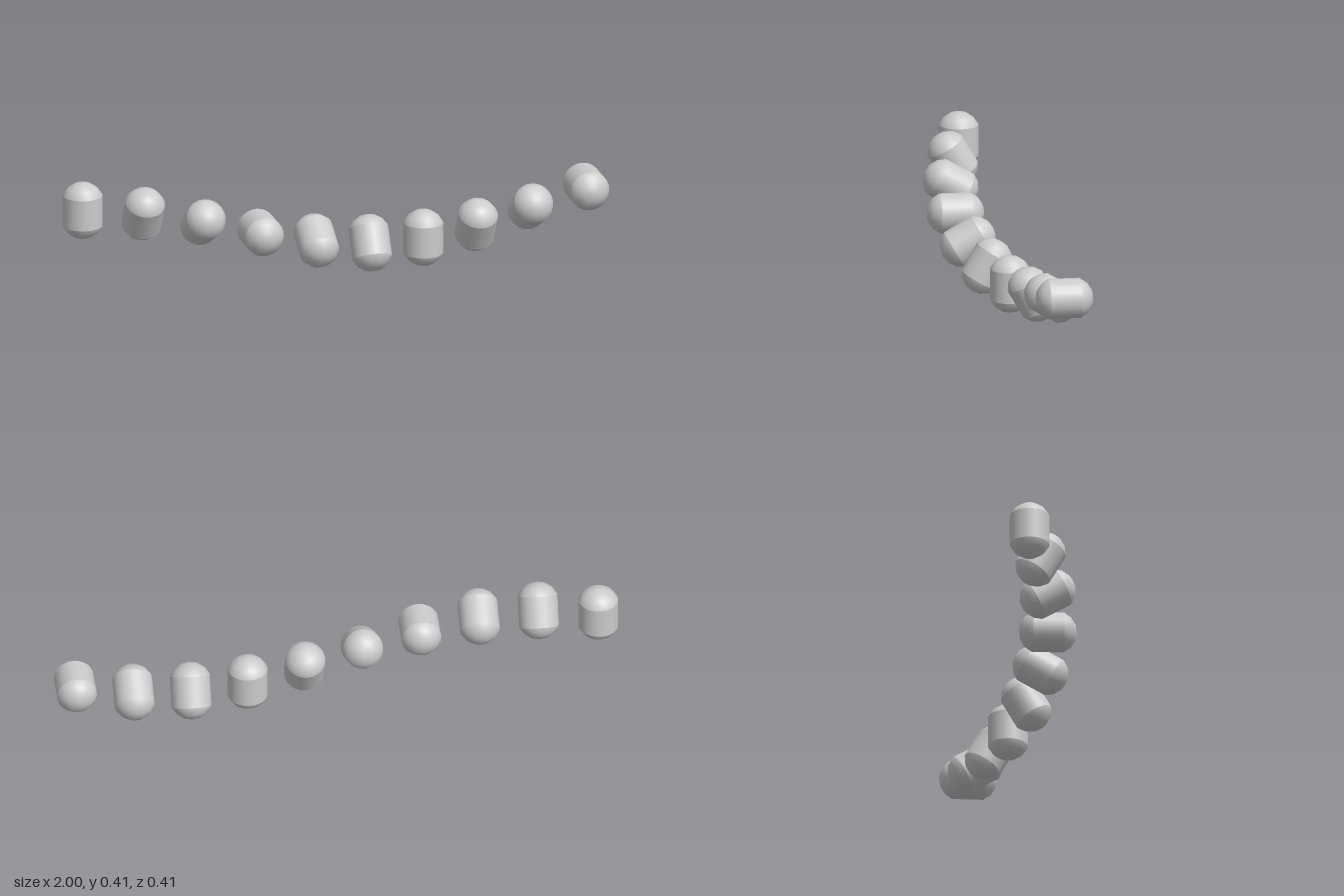
import * as THREE from 'three';

const COUNT = 10;
const RADIUS = 0.0705;                 // cylinder radius
const REACH = 0.205;                   // length of each capsule, measured from the shared axis
const CAP_ANGLE = THREE.MathUtils.degToRad(67.5);
const CAP_R = RADIUS / Math.sin(CAP_ANGLE);
const CAP_H = CAP_R * (1 - Math.cos(CAP_ANGLE));
const SIDES = 24;

export function createModel() {
  const model = new THREE.Group();
  model.name = 'capsuleSpiral';
  const material = new THREE.MeshStandardMaterial({ color: 0xcccccc });

  // Shared geometry: straight barrel and a shallow dome with a crisp rim
  const barrelGeo = new THREE.CylinderGeometry(RADIUS, RADIUS, REACH - 2 * CAP_H, SIDES, 1, true);
  barrelGeo.translate(0, REACH / 2, 0);
  const outerGeo = new THREE.SphereGeometry(CAP_R, SIDES, 3, 0, Math.PI * 2, 0, CAP_ANGLE);
  outerGeo.translate(0, REACH - CAP_R, 0);
  const innerGeo = outerGeo.clone().translate(0, -REACH, 0).rotateX(Math.PI).rotateY(Math.PI);

  // Row of capsules, each turned 30 degrees further about the long axis
  const span = 2 * (1 - RADIUS);
  for (let i = 0; i < COUNT; i++) {
    const capsule = new THREE.Group();
    capsule.name = `capsule${i + 1}`;
    const parts = { barrel: barrelGeo, outerCap: outerGeo, innerCap: innerGeo };
    for (const [name, geo] of Object.entries(parts)) {
      const mesh = new THREE.Mesh(geo, material);
      mesh.name = name;
      capsule.add(mesh);
    }
    capsule.position.set(-span / 2 + (span * i) / (COUNT - 1), REACH, 0);
    capsule.rotation.x = (i * Math.PI) / 6;
    model.add(capsule);
  }
  return model;
}
